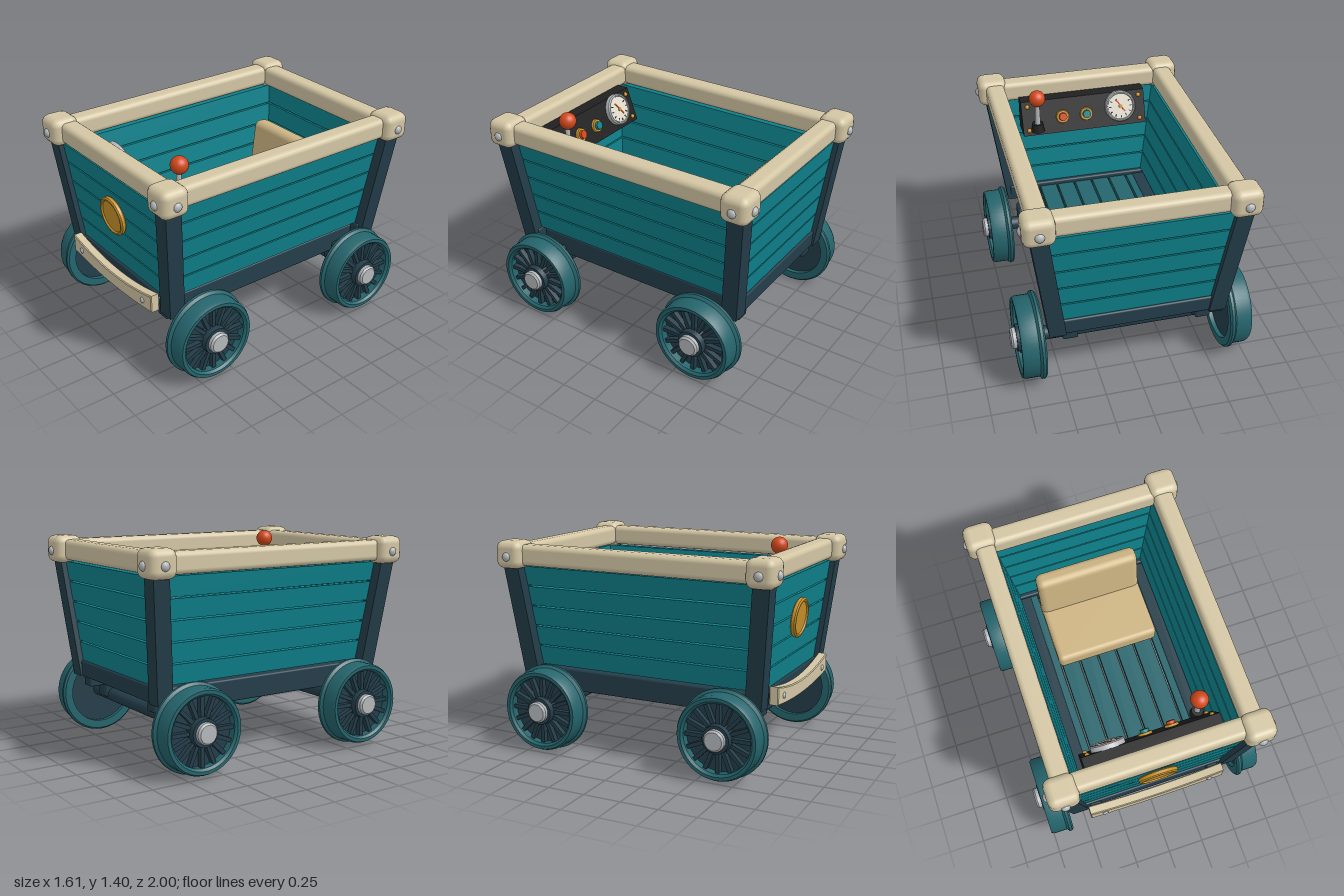
import * as THREE from 'three';
import { toCreasedNormals } from 'three/addons/utils/BufferGeometryUtils.js';
import { RoundedBoxGeometry } from 'three/addons/geometries/RoundedBoxGeometry.js';

const mat = (name, color) => Object.assign(new THREE.MeshStandardMaterial({ color }), { name });
const M = {
  teal: mat('plank teal', 0x0e818b), deep: mat('wheel teal', 0x24646c), frame: mat('frame navy', 0x233d49),
  cream: mat('cream trim', 0xd3c6a4), seat: mat('seat tan', 0xcdb483), gold: mat('gold', 0xc8922a),
  silver: mat('silver', 0xb4b8bb), orange: mat('orange', 0xd2481a), black: mat('panel black', 0x1f1f1f),
  dial: mat('dial white', 0xe4dfd0),
};

// Outer faces of the flared body at a given height
const sideX = y => 0.52 + (y - 0.55) * 0.135;
const endZ = y => 0.835 + (y - 0.55) * 0.1;

function add(parent, name, geo, material, x = 0, y = 0, z = 0) {
  const m = new THREE.Mesh(geo, material);
  m.name = name;
  m.position.set(x, y, z);
  parent.add(m);
  return m;
}
const box = (w, h, d, r = 0.012) => new RoundedBoxGeometry(w, h, d, 2, r);
const ring = pts => toCreasedNormals(
  new THREE.LatheGeometry(pts.map(p => new THREE.Vector2(...p)), 48), 0.6);

// Moves every vertex of a geometry by a rule
function bend(geo, rule) {
  const p = geo.attributes.position, v = new THREE.Vector3();
  for (let i = 0; i < p.count; i++) {
    rule(v.fromBufferAttribute(p, i));
    p.setXYZ(i, v.x, v.y, v.z);
  }
  geo.computeVertexNormals();
  return geo;
}

function buildWalls(g) {
  const t = 0.055, h = 0.128;
  for (let i = 0; i < 5; i++) {
    const y0 = 0.55 + i * 0.138 + h / 2;
    for (const s of [1, -1]) {
      // Unit boxes shaped so the planks lean out and widen with height
      const end = bend(new THREE.BoxGeometry(1, h, 1), v => {
        v.y += y0;
        v.x *= 2 * (sideX(v.y) - 0.01);
        v.z = s * (endZ(v.y) - (v.z * s > 0 ? 0 : t));
      });
      add(g, s > 0 ? 'frontPlank' : 'backPlank', end, M.teal);
      const side = bend(new THREE.BoxGeometry(1, h, 1), v => {
        v.y += y0;
        v.z *= 2 * (endZ(v.y) - 0.01);
        v.x = s * (sideX(v.y) - (v.x * s > 0 ? 0 : t));
      });
      add(g, s > 0 ? 'leftPlank' : 'rightPlank', side, M.teal);
    }
  }
}

function buildFrame(g) {
  for (let i = -3; i <= 3; i++) add(g, 'floorPlank', box(0.124, 0.04, 1.6, 0.005), M.deep, i * 0.1345, 0.5, 0);
  for (const s of [1, -1]) {
    add(g, 'sideBeam', box(0.1, 0.15, 1.66), M.frame, s * 0.44, 0.45, 0);
    add(g, 'endBeam', box(1.12, 0.11, 0.1), M.frame, 0, 0.495, s * 0.8);
    add(g, 'crossBeam', box(0.98, 0.065, 0.14), M.frame, 0, 0.4075, s * 0.64);
    const axle = add(g, 'axle', new THREE.CylinderGeometry(0.047, 0.047, 1.3, 24), M.frame, 0, 0.295, s * 0.64);
    axle.rotation.z = Math.PI / 2;
    for (const k of [1, -1]) {
      add(g, 'axleMount', box(0.12, 0.16, 0.13, 0.02), M.frame, k * 0.473, 0.36, s * 0.64);
      // Leaning corner post
      const post = bend(new THREE.BoxGeometry(0.11, 0.82, 0.11), v => {
        v.x += k * (0.525 + (v.y + 0.41) * 0.13);
        v.z += s * (0.805 + (v.y + 0.41) * 0.1);
        v.y += 0.85;
      });
      add(g, 'cornerPost', post, M.frame);
      add(g, 'cornerCap', box(0.2, 0.185, 0.19, 0.05), M.cream, k * 0.63, 1.3125, s * 0.885);
      add(g, 'capBolt', new THREE.SphereGeometry(0.03, 20, 12), M.silver, k * 0.632, 1.302, s * 0.978).scale.z = 0.75;
      add(g, 'capBolt', new THREE.SphereGeometry(0.03, 20, 12), M.silver, k * 0.725, 1.302, s * 0.885).scale.x = 0.75;
    }
    add(g, 'sideRail', box(0.13, 0.14, 1.66, 0.035), M.cream, s * 0.615, 1.31, 0);
    add(g, 'endRail', box(1.14, 0.14, 0.13, 0.035), M.cream, 0, 1.31, s * 0.86);
  }
}

// Wheel modelled along +y, then turned so its outer face points along +x
function buildWheel() {
  const w = new THREE.Group();
  w.name = 'wheel';
  add(w, 'tire', ring([[0.225, 0], [0.278, 0], [0.29, 0.012], [0.29, 0.03], [0.272, 0.045], [0.272, 0.135],
    [0.262, 0.155], [0.24, 0.155], [0.225, 0.14], [0.225, 0]]), M.deep);
  add(w, 'disc', new THREE.CylinderGeometry(0.228, 0.228, 0.06, 48), M.frame, 0, 0.06, 0);
  for (let i = 0; i < 16; i++) {
    const a = i * Math.PI / 8;
    const spoke = add(w, 'spoke', new THREE.BoxGeometry(0.15, 0.035, 0.026), M.frame,
      Math.cos(a) * 0.155, 0.107, -Math.sin(a) * 0.155);
    spoke.rotation.y = a;
  }
  add(w, 'hub', new THREE.CylinderGeometry(0.09, 0.1, 0.1, 32), M.frame, 0, 0.11, 0);
  add(w, 'hubCap', ring([[0, 0.15], [0.07, 0.15], [0.07, 0.183], [0.058, 0.195], [0, 0.195]]), M.silver);
  w.rotation.z = -Math.PI / 2;
  return w;
}

function buildSeat(g) {
  add(g, 'seatBase', box(0.6, 0.13, 0.42), M.frame, 0, 0.575, -0.38);
  add(g, 'seatCushion', box(0.71, 0.14, 0.52, 0.035), M.seat, 0, 0.69, -0.375);
  const back = add(g, 'seatBack', box(0.71, 0.42, 0.12, 0.045), M.seat, 0, 0.885, -0.57);
  back.rotation.x = -0.13;
}

function buildBumper(g) {
  const s = new THREE.Shape();
  s.moveTo(-0.475, 0.465);
  s.quadraticCurveTo(0, 0.4, 0.475, 0.465);
  s.lineTo(0.475, 0.585);
  s.quadraticCurveTo(0, 0.465, -0.475, 0.585);
  s.closePath();
  const geo = new THREE.ExtrudeGeometry(s, { depth: 0.05, bevelSize: 0.006, bevelThickness: 0.006, bevelSegments: 1, bevelOffset: -0.006, curveSegments: 20 });
  add(g, 'bumper', geo, M.cream, 0, 0, 0.876);
  for (const k of [1, -1]) {
    add(g, 'bumperBolt', new THREE.SphereGeometry(0.02, 16, 10), M.silver, k * 0.375, 0.507, 0.932).scale.z = 0.6;
    add(g, 'bumperBracket', box(0.08, 0.08, 0.08), M.frame, k * 0.42, 0.5, 0.85);
  }
}

// Plain round badge on the front wall
function buildBadge(g) {
  const b = new THREE.Group();
  b.name = 'frontBadge';
  add(b, 'badgeDisc', ring([[0, 0], [0.122, 0], [0.132, 0.01], [0.132, 0.03], [0.122, 0.038],
    [0.112, 0.038], [0.106, 0.028], [0, 0.028]]), M.gold);
  b.position.set(0, 0.93, endZ(0.93) - 0.003);
  b.rotation.x = Math.PI / 2 + 0.1;
  g.add(b);
}

// Dashboard wedge; fittings are placed in the tilted frame of its face
function buildDashboard(g) {
  const s = new THREE.Shape([[0.625, 1.04], [0.8, 1.04], [0.8, 1.27], [0.71, 1.27]].map(p => new THREE.Vector2(...p)));
  const geo = new THREE.ExtrudeGeometry(s, { depth: 0.905, bevelEnabled: false });
  geo.rotateY(-Math.PI / 2);
  add(g, 'dashboard', geo, M.black, 0.4525, 0, 0);

  const face = new THREE.Group();
  face.name = 'dashboardFittings';
  face.position.set(0, 1.155, 0.6675);
  face.rotation.x = -Math.PI / 2 + 0.354; // local +y leaves the face, local +z runs up it
  g.add(face);
  for (const x of [-0.41, 0.41]) for (const z of [-0.085, 0.085])
    add(face, 'dashboardBolt', new THREE.SphereGeometry(0.016, 12, 8), M.gold, x, 0, z);
  for (const [x, m] of [[-0.015, M.teal], [0.16, M.orange]]) {
    add(face, 'buttonRing', new THREE.CylinderGeometry(0.044, 0.048, 0.016, 28), M.gold, x, 0.008, -0.01);
    add(face, 'button', new THREE.CylinderGeometry(0.028, 0.032, 0.035, 24), m, x, 0.018, -0.01);
  }
  add(face, 'gaugeRim', ring([[0, 0], [0.112, 0], [0.112, 0.03], [0.104, 0.038], [0.096, 0.038], [0.092, 0.028], [0, 0.028]]), M.silver, -0.265, 0, 0.02);
  add(face, 'gaugeDial', new THREE.CylinderGeometry(0.092, 0.092, 0.006, 36), M.dial, -0.265, 0.029, 0.02);
  for (let i = 0; i < 9; i++) {
    const a = -0.5 + i * 0.52;
    const tick = add(face, 'gaugeTick', new THREE.BoxGeometry(0.018, 0.003, 0.006), M.black,
      -0.265 + Math.cos(a) * 0.076, 0.033, 0.02 - Math.sin(a) * 0.076);
    tick.rotation.y = a;
  }
  add(face, 'gaugeNeedle', new THREE.BoxGeometry(0.01, 0.004, 0.11), M.orange, -0.265, 0.034, 0.025).rotation.y = 0.6;
  add(face, 'gaugePin', new THREE.CylinderGeometry(0.013, 0.013, 0.008, 16), M.gold, -0.265, 0.035, 0.02);

  // Lever
  add(g, 'leverBase', new THREE.CylinderGeometry(0.038, 0.048, 0.06, 24), M.black, 0.35, 1.11, 0.62);
  add(g, 'leverStem', new THREE.CylinderGeometry(0.016, 0.02, 0.2, 16), M.silver, 0.35, 1.22, 0.615);
  add(g, 'leverKnob', new THREE.SphereGeometry(0.058, 28, 18), M.orange, 0.35, 1.34, 0.61);
}

export function createModel() {
  const g = new THREE.Group();
  g.name = 'rideOnCart';
  buildFrame(g);
  buildWalls(g);
  buildSeat(g);
  buildBumper(g);
  buildBadge(g);
  buildDashboard(g);
  for (const s of [1, -1]) for (const z of [0.64, -0.64]) {
    const corner = new THREE.Group();
    corner.name = 'wheelCorner';
    corner.add(buildWheel());
    corner.position.set(s * 0.608, 0.29, z);
    corner.rotation.y = s > 0 ? 0 : Math.PI;
    g.add(corner);
  }
  return g;
}
